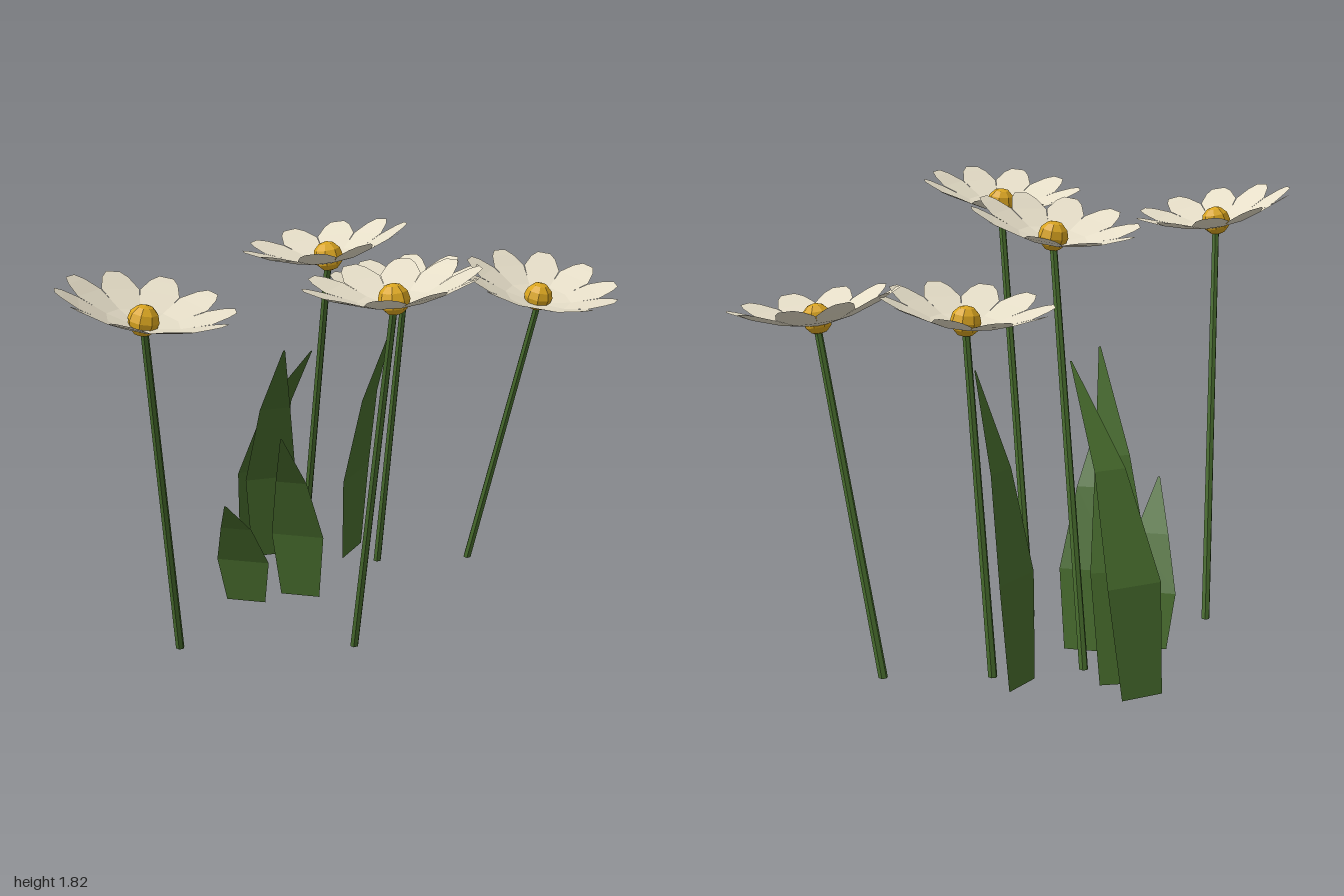
import * as THREE from 'three';
import { mergeGeometries } from 'three/addons/utils/BufferGeometryUtils.js';

const green = new THREE.MeshStandardMaterial({ color: 0x466a2c, side: THREE.DoubleSide, flatShading: true });
green.name = 'leaf green';
const cream = new THREE.MeshStandardMaterial({ color: 0xe6dec8, side: THREE.DoubleSide, flatShading: true });
cream.name = 'petal cream';
const gold = new THREE.MeshStandardMaterial({ color: 0xdaa520, flatShading: true });
gold.name = 'pollen gold';

// Open strip joining left/right point pairs
function ribbon(pairs) {
  const pos = [], index = [];
  pairs.forEach(([l, r], i) => {
    pos.push(...l, ...r);
    if (i) {
      const a = 2 * i - 2;
      index.push(a, a + 1, a + 3, a, a + 3, a + 2);
    }
  });
  const g = new THREE.BufferGeometry();
  g.setAttribute('position', new THREE.Float32BufferAttribute(pos, 3));
  g.setIndex(index);
  g.computeVertexNormals();
  return g;
}

// Ten blunt petals forming a shallow dish; sections are [radius, half width, height]
const PETAL = [[0.03, 0.011, 0], [0.13, 0.043, 0.022], [0.235, 0.075, 0.062], [0.295, 0.052, 0.088], [0.325, 0.027, 0.1]];
function petalRing() {
  const petals = [];
  for (let i = 0; i < 10; i++) {
    const g = ribbon(PETAL.map(([r, w, y]) => [[-w, y, r], [w, y, r]]));
    g.rotateY((i * Math.PI) / 5);
    petals.push(g);
  }
  return mergeGeometries(petals);
}

// Straight slanted stem with level ends
function stemGeometry(from, to) {
  const h = to[1] - from[1];
  const g = new THREE.CylinderGeometry(0.015, 0.018, h, 6);
  g.translate(0, h / 2, 0);
  const p = g.attributes.position;
  for (let i = 0; i < p.count; i++) {
    const t = p.getY(i) / h;
    p.setX(i, p.getX(i) + from[0] + (to[0] - from[0]) * t);
    p.setZ(i, p.getZ(i) + from[2] + (to[2] - from[2]) * t);
  }
  return g;
}

// Blade that widens, then tapers to a point while bending over
function leafGeometry({ base: [x, z], bend: [bx, bz], height }) {
  const len = Math.hypot(bx, bz);
  const sx = bz / len, sz = -bx / len;
  const sections = [[0, 0, 0.085], [0.35, 0.115, 0.113], [0.69, 0.45, 0.066], [1, 1, 0.004]];
  return ribbon(sections.map(([h, b, w]) => {
    const cx = x + bx * b, cz = z + bz * b, y = h * height;
    return [[cx - sx * w, y, cz - sz * w], [cx + sx * w, y, cz + sz * w]];
  }));
}

// Head centre, stem foot, and direction the head faces
const FLOWERS = [
  { head: [-0.705, 1.617, 0.565], foot: [-0.727, 0.21], face: [0.17, 1, -0.11] },
  { head: [-0.145, 1.62, -0.17], foot: [-0.32, -0.47], face: [-0.17, 1, -0.14] },
  { head: [0.18, 1.69, 0.43], foot: [-0.008, 0.1], face: [-0.11, 1, -0.13] },
  { head: [0.12, 1.338, -0.52], foot: [0.004, -0.615], face: [-0.1, 1, -0.06] },
  { head: [0.675, 1.338, -0.565], foot: [0.408, -0.7], face: [0.14, 1, 0] },
];
const LEAVES = [
  { base: [-0.485, -0.6], bend: [0.155, 0.415], height: 1.2 },
  { base: [-0.575, -0.72], bend: [0.34, 0.43], height: 1.16 },
  { base: [-0.295, -0.265], bend: [-0.015, 0.305], height: 0.91 },
  { base: [-0.522, -0.19], bend: [-0.013, 0.295], height: 0.625 },
  { base: [-0.122, -0.682], bend: [0.19, 0.08], height: 1.17 },
];

export function createModel() {
  const model = new THREE.Group();
  model.name = 'daisyClump';
  const add = (parent, name, geometry, material) => {
    const mesh = new THREE.Mesh(geometry, material);
    mesh.name = name;
    parent.add(mesh);
    return mesh;
  };
  const petals = petalRing();
  const up = new THREE.Vector3(0, 1, 0);

  FLOWERS.forEach(({ head, foot, face }) => {
    const flower = new THREE.Group();
    flower.name = 'flower';
    model.add(flower);
    add(flower, 'stem', stemGeometry([foot[0], 0, foot[1]], [head[0], head[1] - 0.03, head[2]]), green);

    // Tilted head: petals around a faceted centre
    const bloom = new THREE.Group();
    bloom.name = 'bloom';
    bloom.position.set(...head);
    bloom.quaternion.setFromUnitVectors(up, new THREE.Vector3(...face).normalize());
    flower.add(bloom);
    add(bloom, 'petals', petals, cream).position.y = -0.025;
    add(bloom, 'flowerCentre', new THREE.SphereGeometry(0.059, 8, 6), gold);
  });

  LEAVES.forEach((leaf) => add(model, 'leaf', leafGeometry(leaf), green));
  return model;
}
